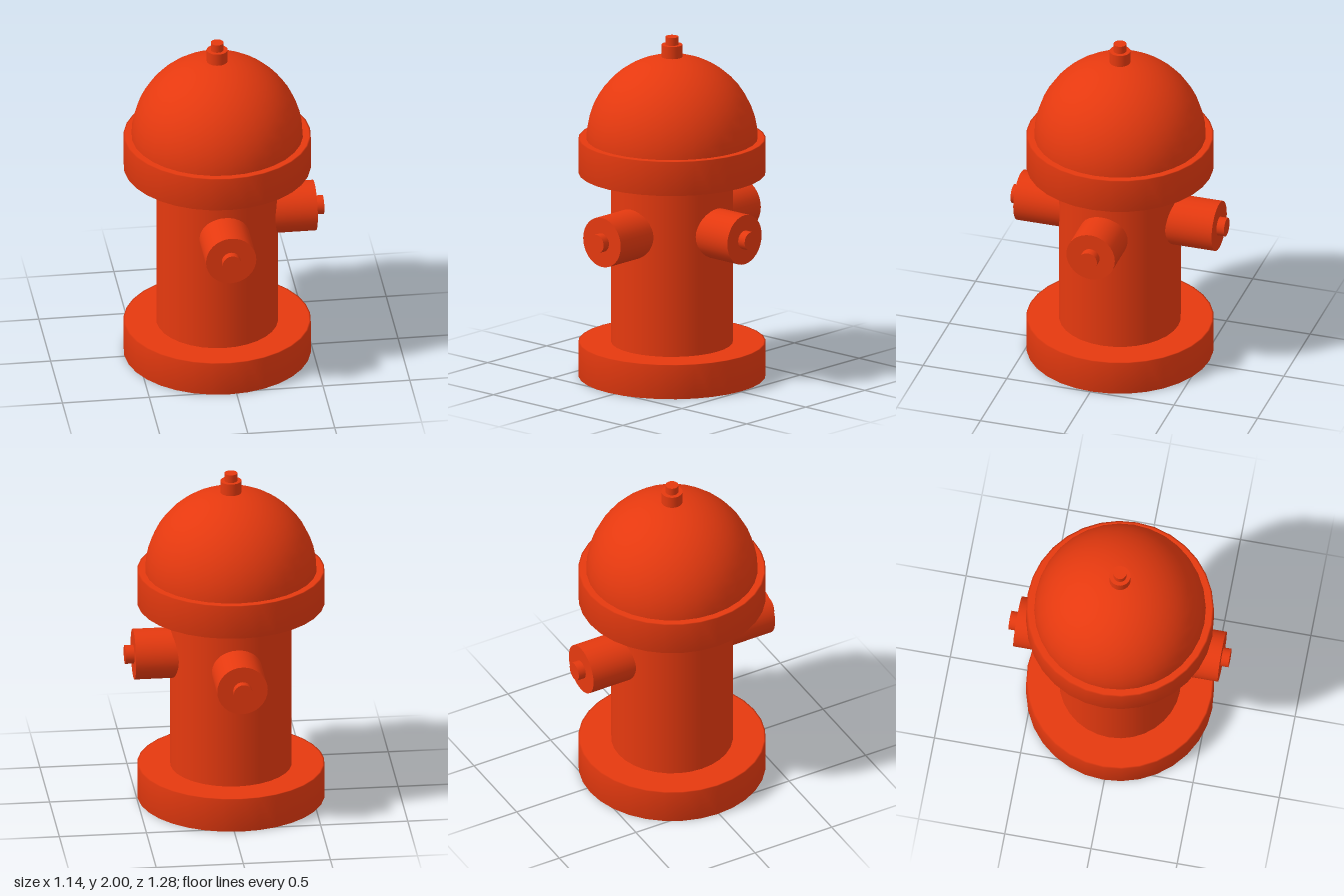
import * as THREE from 'three';

const RED = new THREE.MeshStandardMaterial({ color: 0xe5390f });
const SIDES = 32;

function addMesh(parent, name, geometry, y = 0) {
  const mesh = new THREE.Mesh(geometry, RED);
  mesh.name = name;
  mesh.position.y = y;
  parent.add(mesh);
  return mesh;
}

// Upright cylinder given by its bottom and top heights
function addDrum(parent, name, radius, y0, y1, sides = SIDES) {
  const geometry = new THREE.CylinderGeometry(radius, radius, y1 - y0, sides);
  return addMesh(parent, name, geometry, (y0 + y1) / 2);
}

// Thick disc whose rim is softly shaded into its flat faces
function addFlange(parent, name, y) {
  const r = 0.535, h = 0.2;
  const profile = [[0, 0], [r - 0.04, 0], [r, 0], [r, h], [r - 0.01, h], [0, h]]
    .map(([x, py]) => new THREE.Vector2(x, py));
  return addMesh(parent, name, new THREE.LatheGeometry(profile, SIDES), y);
}

// Outlet pointing along local +z, with a small nut on its cap
function createOutlet(name, reach, nutReach) {
  const outlet = new THREE.Group();
  outlet.name = name;
  addDrum(outlet, name + 'Barrel', 0.145, 0.2, reach);
  addDrum(outlet, name + 'Nut', 0.054, reach - 0.02, nutReach, 24);
  for (const part of outlet.children) {
    part.position.set(0, 0, part.position.y);
    part.rotation.x = Math.PI / 2;
  }
  outlet.position.y = 0.9;
  return outlet;
}

export function createModel() {
  const model = new THREE.Group();
  model.name = 'fireHydrant';
  const hydrant = new THREE.Group();
  hydrant.name = 'hydrant';
  // The single side outlet pushes the barrel off centre
  hydrant.position.set(-0.04, 0, -0.008);
  model.add(hydrant);

  // Base, barrel and collar
  addFlange(hydrant, 'baseFlange', 0);
  addDrum(hydrant, 'barrel', 0.348, 0.19, 1.21);
  addFlange(hydrant, 'collar', 1.2);

  // Domed bonnet with its stepped nut
  const dome = new THREE.SphereGeometry(0.49, SIDES, 12, 0, Math.PI * 2, 0, Math.PI / 2);
  addMesh(hydrant, 'bonnet', dome, 1.395);
  addDrum(hydrant, 'bonnetNut', 0.06, 1.86, 1.953);
  addDrum(hydrant, 'bonnetNutTip', 0.037, 1.94, 2, 24);

  // Outlets at the front, back and left side
  const front = createOutlet('frontOutlet', 0.593, 0.638);
  const back = createOutlet('backOutlet', 0.593, 0.638);
  back.rotation.y = Math.PI;
  const side = createOutlet('leftOutlet', 0.56, 0.61);
  side.rotation.y = Math.PI / 2;
  hydrant.add(front, back, side);

  return model;
}
